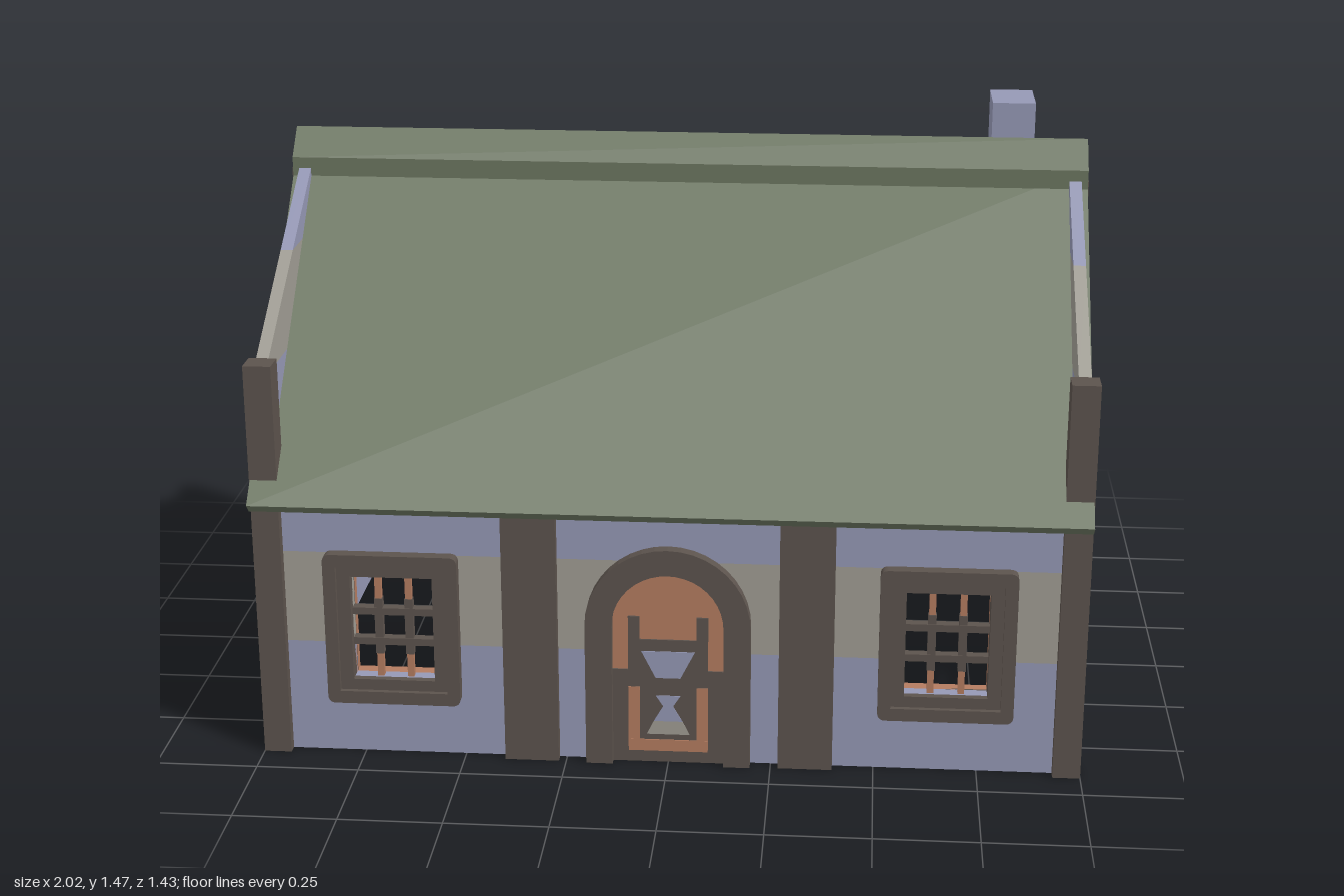
import * as THREE from 'three';

const mat = (name, color) => {
  const m = new THREE.MeshStandardMaterial({ color });
  m.name = name;
  return m;
};

export function createModel() {
  const plasterBlue = mat('blue plaster', 0x9598b5);
  const plasterGrey = mat('grey plaster', 0xa09d94);
  const timber = mat('dark timber', 0x5c534d);
  const wood = mat('orange wood', 0xb47c60);
  const thatch = mat('green roof', 0x6b7560);

  const house = new THREE.Group();
  house.name = 'cottage';

  const add = (parent, name, geo, material) => {
    const m = new THREE.Mesh(geo, material);
    m.name = name;
    parent.add(m);
    return m;
  };
  // Box given by its lower and upper limits
  const box = (parent, name, material, x0, x1, y0, y1, z0, z1) => {
    const m = add(parent, name, new THREE.BoxGeometry(x1 - x0, y1 - y0, z1 - z0), material);
    m.position.set((x0 + x1) / 2, (y0 + y1) / 2, (z0 + z1) / 2);
    return m;
  };
  const polygon = pts => new THREE.Shape(pts.map(p => new THREE.Vector2(p[0], p[1])));
  // Extrude a shape from depth z0 to z1
  const slab = (parent, name, material, shape, z0, z1) => {
    const g = new THREE.ExtrudeGeometry(shape, { depth: z1 - z0, bevelEnabled: false, curveSegments: 10 });
    return add(parent, name, g.translate(0, 0, z0), material);
  };
  const roundRect = (w, h, r) => {
    const s = new THREE.Shape();
    s.moveTo(-w + r, -h).lineTo(w - r, -h).quadraticCurveTo(w, -h, w, -h + r);
    s.lineTo(w, h - r).quadraticCurveTo(w, h, w - r, h);
    s.lineTo(-w + r, h).quadraticCurveTo(-w, h, -w, h - r);
    s.lineTo(-w, -h + r).quadraticCurveTo(-w, -h, -w + r, -h);
    return s;
  };
  const rect = (w, h) => polygon([[-w, -h], [w, -h], [w, h], [-w, h]]);
  const ring = (outer, inner) => {
    outer.holes.push(new THREE.Path(inner.getPoints(10)));
    return outer;
  };

  // Window in wall space: outer face of the wall is z = 0
  const HW = 0.1, V0 = 0.2, V1 = 0.47;
  const addWindow = (wall, u) => {
    const w = new THREE.Group();
    w.name = 'window';
    w.position.set(u, 0.335, 0);
    wall.add(w);
    slab(w, 'outerFrame', timber, ring(roundRect(0.163, 0.195, 0.02), rect(0.132, 0.163)), -0.02, 0.03);
    slab(w, 'innerFrame', timber, ring(rect(0.132, 0.163), rect(HW, 0.135)), -0.035, 0.018);
    slab(w, 'insideFrame', wood, ring(roundRect(0.163, 0.195, 0.02), rect(HW, 0.135)), -0.06, -0.02);
    for (const x of [-0.037, 0.037]) {
      box(w, 'upright', wood, x - 0.008, x + 0.008, -0.135, 0.135, -0.022, -0.006);
      box(w, 'uprightCentre', timber, x - 0.01, x + 0.01, -0.075, 0.07, -0.024, -0.004);
    }
    for (const y of [-0.042, 0.037])
      box(w, 'crossbar', timber, -HW, HW, y - 0.009, y + 0.009, -0.026, -0.002);
  };

  // Banded wall with window openings, facing the given angle
  const addWall = (name, angle, dist, half, windows, top) => {
    const wall = new THREE.Group();
    wall.name = name;
    wall.rotation.y = angle;
    wall.position.set(Math.sin(angle) * dist, 0, Math.cos(angle) * dist);
    house.add(wall);
    const bands = [[0, 0.29, plasterBlue], [0.29, 0.525, plasterGrey], [0.525, top, plasterBlue]];
    for (const [y0, y1, m] of bands) {
      let u = -half;
      for (const c of windows) {
        box(wall, 'plaster', m, u, c - HW, y0, y1, -0.03, 0);
        if (y0 < V0) box(wall, 'plaster', m, c - HW, c + HW, y0, V0, -0.03, 0);
        if (y1 > V1) box(wall, 'plaster', m, c - HW, c + HW, Math.max(y0, V1), y1, -0.03, 0);
        u = c + HW;
      }
      box(wall, 'plaster', m, u, half, y0, y1, -0.03, 0);
    }
    windows.forEach(c => addWindow(wall, c));
    return wall;
  };

  const front = addWall('frontWall', 0, 0.64, 0.95, [-0.67, 0.67], 0.7);
  addWall('backWall', Math.PI, 0.64, 0.95, [], 0.7);

  // Gable walls rise above the roof slopes
  for (const s of [1, -1]) {
    const gable = addWall('gableWall', s * Math.PI / 2, 0.982, 0.61, [-0.335], 0.965);
    const half = y => 0.6 - (y - 1) * 0.535 / 0.335;
    const a = half(1.185);
    slab(gable, 'gableBand', plasterGrey,
      polygon([[-0.6, 0.965], [0.6, 0.965], [0.6, 1], [a, 1.185], [-a, 1.185], [-0.6, 1]]), -0.03, 0);
    slab(gable, 'gablePeak', plasterBlue,
      polygon([[-a, 1.185], [a, 1.185], [0.065, 1.335], [-0.065, 1.335]]), -0.03, 0);
  }

  // Timber posts with bare wood undersides
  const postMats = [timber, timber, timber, wood, timber, timber];
  const post = (name, x0, x1, h, z0, z1) => box(house, name, postMats, x0, x1, 0, h, z0, z1);
  for (const s of [1, -1]) {
    const [z0, z1] = s > 0 ? [0.6, 0.665] : [-0.665, -0.6];
    for (const t of [1, -1]) {
      const span = (a, b) => (t > 0 ? [a, b] : [-b, -a]);
      post('cornerPost', ...span(0.933, 1), 1, z0, z1);
      post('wallPost', ...span(0.268, 0.4), 0.7, z0, z1);
    }
    post('gablePost', ...(s > 0 ? [0.933, 1] : [-1, -0.933]), 1.335, -0.065, 0.065);
    box(house, 'tieBeam', thatch, s * 0.33 - 0.02, s * 0.33 + 0.02, 0.65, 0.69, -0.62, 0.62);
  }

  // Roof: profiles in (z, y), extruded along x
  const alongX = (name, pts) => {
    const m = slab(house, name, thatch, polygon(pts), -0.998, 0.998);
    m.rotation.y = -Math.PI / 2;
  };
  for (const s of [1, -1])
    alongX('roofSlope', [[0.02 * s, 1.36], [0.713 * s, 0.667], [0.69 * s, 0.645], [0.02 * s, 1.315]]);
  alongX('ridgeCap', [[-0.066, 1.315], [0.066, 1.315], [0.066, 1.362], [0, 1.428], [-0.066, 1.362]]);

  // Arched door
  const arch = r => {
    const s = new THREE.Shape();
    s.moveTo(-r, 0).lineTo(r, 0).lineTo(r, 0.365);
    s.absarc(0, 0.365, r, 0, Math.PI, false);
    s.lineTo(-r, 0);
    return s;
  };
  const door = new THREE.Group();
  door.name = 'door';
  front.add(door);
  const frame = new THREE.Shape();
  frame.moveTo(0.135, 0).lineTo(0.2, 0).lineTo(0.2, 0.365).absarc(0, 0.365, 0.2, 0, Math.PI, false);
  frame.lineTo(-0.2, 0).lineTo(-0.135, 0).lineTo(-0.135, 0.365).absarc(0, 0.365, 0.135, Math.PI, 0, true);
  frame.lineTo(0.135, 0);
  slab(door, 'doorFrame', timber, frame, -0.06, 0.03);
  slab(door, 'doorPanel', wood, arch(0.135), -0.045, 0.006);
  // Painted door bracing
  const P = 0.006;
  box(door, 'lowerPlate', timber, -0.135, 0.135, 0, 0.2, P, P + 0.004);
  for (const s of [1, -1]) {
    box(door, 'strap', timber, s * 0.083 - 0.014, s * 0.083 + 0.014, 0.2, 0.385, P, P + 0.004);
    box(door, 'hinge', timber, s * 0.115 - 0.02, s * 0.115 + 0.02, 0.2, 0.245, P, P + 0.004);
    box(door, 'lowerTrim', wood, s * 0.083 - 0.014, s * 0.083 + 0.014, 0.035, 0.2, P, P + 0.006);
  }
  box(door, 'bottomTrim', wood, -0.096, 0.096, 0.03, 0.06, P, P + 0.0065);
  box(door, 'brace', timber, -0.07, 0.07, 0.2, 0.325, P, P + 0.004);
  slab(door, 'upperPane', plasterBlue, polygon([[-0.03, 0.225], [0.03, 0.225], [0.065, 0.295], [-0.065, 0.295]]), P, P + 0.006);
  slab(door, 'lowerPane', plasterGrey, polygon([[-0.052, 0.075], [0.052, 0.075], [0.035, 0.11], [-0.035, 0.11]]), P, P + 0.006);
  slab(door, 'lowerPaneTop', plasterBlue,
    polygon([[-0.035, 0.11], [0.035, 0.11], [0.012, 0.15], [0.03, 0.178], [-0.03, 0.178], [-0.012, 0.15]]), P, P + 0.006);

  // Chimney: square shaft over a chamfered, tapering base
  box(house, 'chimneyShaft', plasterBlue, 0.77, 0.88, 1.1, 1.47, -0.387, -0.213);
  const plan = [[0.88, -0.19], [0.88, -0.415], [0.77, -0.415], [0.743, -0.385], [0.743, -0.22], [0.77, -0.19]];
  const base = (name, material, y0, y1, k) => {
    const g = new THREE.ExtrudeGeometry(polygon(plan.map(([x, z]) => [x, -z])), { depth: y1 - y0, bevelEnabled: false });
    g.rotateX(-Math.PI / 2).translate(0, y0, 0);
    const p = g.attributes.position;
    for (let i = 0; i < p.count; i++) {
      if (p.getY(i) > y0 + 0.001) continue;
      p.setX(i, 0.88 + (p.getX(i) - 0.88) * k);
      p.setZ(i, -0.3025 + (p.getZ(i) + 0.3025) * k);
    }
    g.computeVertexNormals();
    add(house, name, g, material);
  };
  base('chimneyCollar', plasterBlue, 1.185, 1.22, 1);
  base('chimneyBand', plasterGrey, 1.12, 1.185, 1);
  base('chimneyFoot', plasterBlue, 0.97, 1.12, 0.7);

  return house;
}
